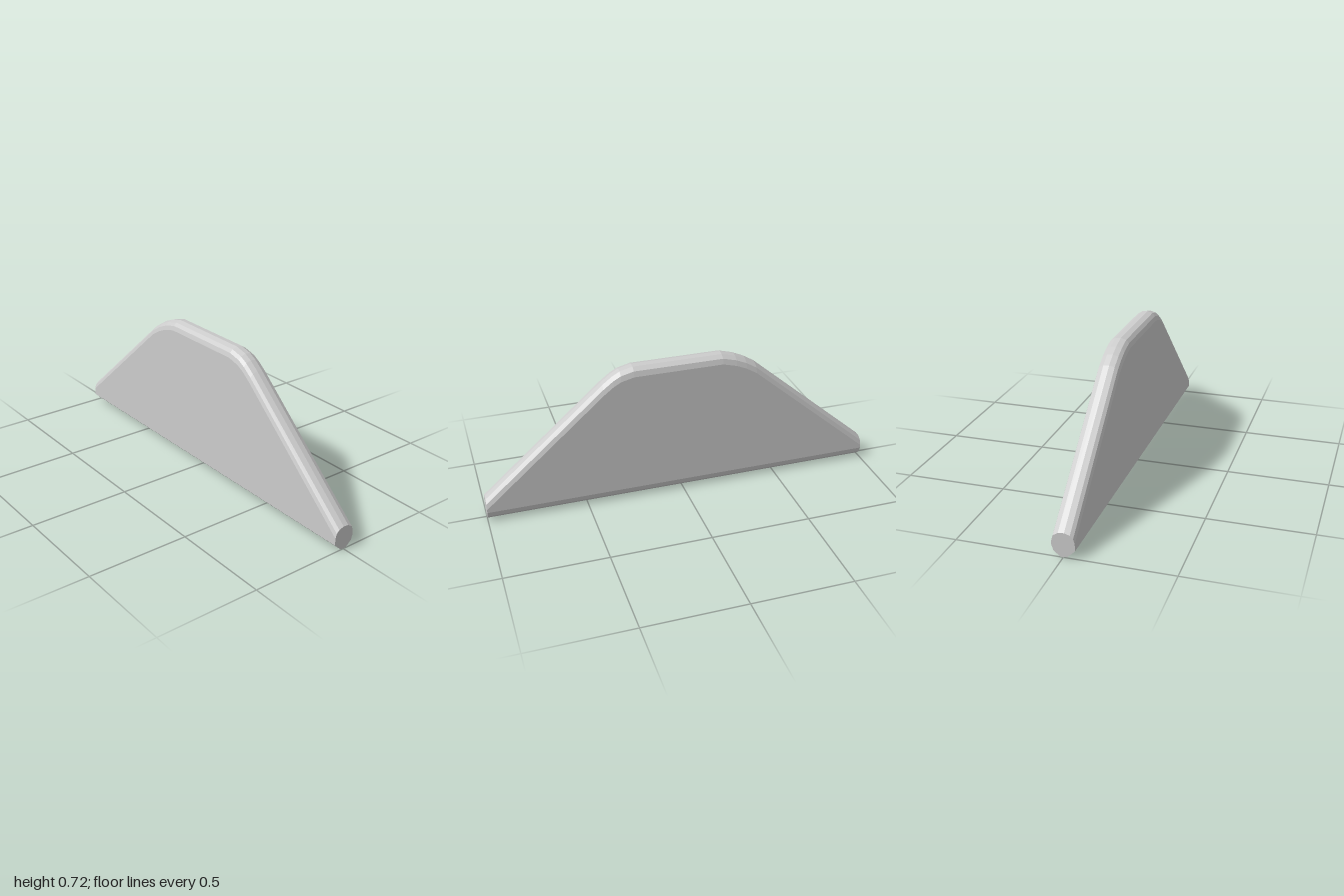
import * as THREE from 'three';

// Top outline: [z, height], front to back
const ridge = [
  [1, 0.117], [0.396, 0.648], [0.348, 0.685], [0.31, 0.706], [0.246, 0.722],
  [-0.203, 0.722], [-0.273, 0.703], [-0.326, 0.68], [-0.38, 0.647], [-1, 0.117],
];

// Rounded edges of the slab section, counter-clockwise seen from the front
const lower = [[-0.053, 0.037], [-0.02, 0.006], [0, 0], [0.016, 0.003], [0.045, 0.029], [0.053, 0.055]];
// Upper edge: [x, depth below the ridge]
const upper = [[0.053, 0.045], [0.045, 0.018], [0.022, 0.003], [-0.006, 0], [-0.032, 0.008], [-0.046, 0.023], [-0.053, 0.045]];

function slabGeometry() {
  const count = lower.length + upper.length;
  const positions = [];
  const index = [];
  for (const [z, h] of ridge) {
    for (const [x, y] of lower) positions.push(x, y, z);
    for (const [x, d] of upper) positions.push(x, h - d, z);
  }
  // Skin between neighbouring sections
  for (let s = 0; s < ridge.length - 1; s++) {
    for (let i = 0; i < count; i++) {
      const a = s * count + i;
      const b = s * count + (i + 1) % count;
      index.push(a, a + count, b, b, a + count, b + count);
    }
  }
  // Flat end caps
  const last = (ridge.length - 1) * count;
  for (let i = 1; i < count - 1; i++) {
    index.push(0, i, i + 1);
    index.push(last, last + i + 1, last + i);
  }
  const geometry = new THREE.BufferGeometry();
  geometry.setAttribute('position', new THREE.Float32BufferAttribute(positions, 3));
  geometry.setIndex(index);
  const flat = geometry.toNonIndexed();
  flat.computeVertexNormals();
  return flat;
}

export function createModel() {
  const group = new THREE.Group();
  group.name = 'roundedTrapezoidPanel';
  const material = new THREE.MeshStandardMaterial({ color: 0xcccccc, flatShading: true });
  const panel = new THREE.Mesh(slabGeometry(), material);
  panel.name = 'panel';
  group.add(panel);
  return group;
}
